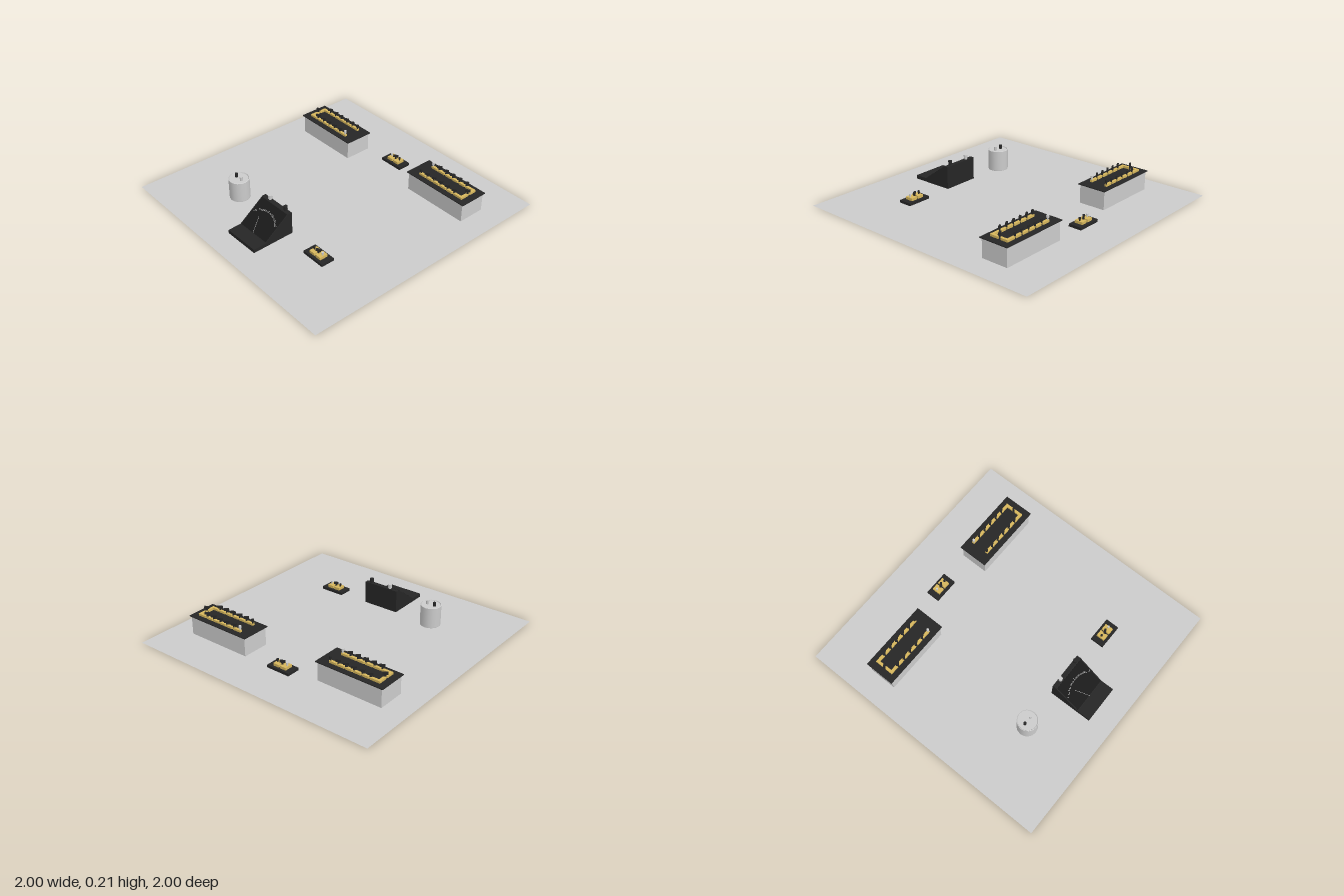
import * as THREE from 'three';

const grey = new THREE.MeshStandardMaterial({ color: 0xcccccc });
const sheet = new THREE.MeshStandardMaterial({ color: 0xcccccc, side: THREE.DoubleSide });
const black = new THREE.MeshStandardMaterial({ color: 0x262626 });
const dark = new THREE.MeshStandardMaterial({ color: 0x1a1a1a });
const brass = new THREE.MeshStandardMaterial({ color: 0xd6b65c });

function add(parent, name, geometry, material, x = 0, y = 0, z = 0) {
  const mesh = new THREE.Mesh(geometry, material);
  mesh.name = name;
  mesh.position.set(x, y, z);
  parent.add(mesh);
  return mesh;
}

function group(parent, name, x = 0, y = 0, z = 0) {
  const g = new THREE.Group();
  g.name = name;
  g.position.set(x, y, z);
  parent.add(g);
  return g;
}

const box = (w, h, d) => new THREE.BoxGeometry(w, h, d);
const cyl = (r, h, n = 12) => new THREE.CylinderGeometry(r, r, h, n);

// Flat plate drawn in plan (x right, y towards the back), extruded upwards
function plate(points, height) {
  const shape = new THREE.Shape(points.map(([x, y]) => new THREE.Vector2(x, y)));
  return new THREE.ExtrudeGeometry(shape, { depth: height, bevelEnabled: false }).rotateX(-Math.PI / 2);
}

// Plug: round stem with a flat thumb grip turned to follow the gap
function addPlug(parent, x, y, z) {
  const plug = group(parent, 'plug', x, y, z);
  add(plug, 'plugStem', cyl(0.006, 0.02, 10), black, 0, 0.01, 0);
  add(plug, 'plugGrip', box(0.036, 0.016, 0.014), black, 0, 0.023, 0).rotation.y = 0.55;
}

// Screw terminal: thin post under a wider knob
function addTerminal(parent, x, y, z, material, scale = 1) {
  const terminal = group(parent, 'terminal', x, y, z);
  add(terminal, 'terminalPost', cyl(0.006, 0.02, 10), material, 0, 0.01, 0);
  add(terminal, 'terminalKnob', cyl(0.01, 0.018, 10), material, 0, 0.023, 0);
  terminal.scale.setScalar(scale);
}

function addResistanceBox(parent, x, z, turn) {
  const unit = group(parent, 'resistanceBox', x, 0, z);
  unit.rotation.y = turn;
  add(unit, 'boxBody', box(0.52, 0.143, 0.21), grey, 0, 0.0735, 0);
  add(unit, 'boxLid', box(0.545, 0.006, 0.23), black, 0, 0.147, 0);
  const top = 0.15, h = 0.016, w = 0.01, slant = 0.006, gap = 0.006;
  const gaps = [-0.12, -0.055, 0.01, 0.075, 0.14];
  // Two rows of slanted brass bars with plugs between them
  for (const rowZ of [-0.063, 0.063]) {
    const edges = [-0.19, ...gaps, 0.22];
    for (let i = 0; i < edges.length - 1; i++) {
      const first = i === 0, last = i === edges.length - 2;
      const a = edges[i] + (first ? 0 : gap), b = edges[i + 1] - (last ? 0 : gap);
      const sa = first ? 0 : slant, sb = last ? 0 : slant;
      add(unit, 'brassBar', plate([[a - sa, -w], [b - sb, -w], [b + sb, w], [a + sa, w]], h), brass, 0, top, rowZ);
    }
    for (const gx of gaps) addPlug(unit, gx, top + h, rowZ);
    addTerminal(unit, -0.182, top + h, rowZ, rowZ < 0 ? grey : black);
  }
  // End column joining the rows, split by one more plug
  const column = [[-w, 0.002], [w, 0.014], [w, 0.053], [-w, 0.053]];
  add(unit, 'endBar', plate(column, h), brass, 0.21, top, 0);
  add(unit, 'endBar', plate(column, h), brass, 0.21, top, 0).rotation.y = Math.PI;
  addPlug(unit, 0.21, top + h, 0);
}

function addPlugKey(parent, x, z, turn) {
  const key = group(parent, 'plugKey', x, 0, z);
  key.rotation.y = turn;
  add(key, 'keyBase', box(0.19, 0.02, 0.103), black, 0, 0.011, 0);
  // Facing brass blocks with a half-round plug hole
  for (const side of [0, Math.PI]) {
    const s = new THREE.Shape();
    s.moveTo(0.006, -0.032);
    s.lineTo(0.055, -0.032);
    s.lineTo(0.055, 0.032);
    s.lineTo(0.006, 0.032);
    s.lineTo(0.006, 0.01);
    s.absarc(0.004, 0, 0.01, Math.PI / 2, -Math.PI / 2, true);
    s.lineTo(0.006, -0.01);
    const geo = new THREE.ExtrudeGeometry(s, { depth: 0.02, bevelEnabled: false }).rotateX(-Math.PI / 2);
    add(key, 'brassBlock', geo, brass, 0, 0.021, 0).rotation.y = side;
    addTerminal(key, side ? -0.042 : 0.042, 0.04, 0, side ? black : grey, 0.8);
  }
  addPlug(key, 0, 0.036, 0);
}

function addCell(parent) {
  const cell = group(parent, 'battery', -0.437, 0, 0.515);
  const profile = [[0, 0], [0.076, 0], [0.076, 0], [0.077, 0.005], [0.077, 0.158], [0.077, 0.158],
    [0.073, 0.16], [0.073, 0.16], [0.07, 0.154], [0.07, 0.154], [0, 0.154]];
  add(cell, 'cellCan', new THREE.LatheGeometry(profile.map(([a, b]) => new THREE.Vector2(a, b)), 16), grey);
  add(cell, 'cellTerminal', cyl(0.011, 0.03), black, -0.03, 0.169, 0);
  add(cell, 'cellTerminal', cyl(0.011, 0.03), grey, 0.03, 0.169, 0);
}

function addMeter(parent) {
  const meter = group(parent, 'meter', 0.006, 0, 0.66);
  meter.rotation.y = 0.015;
  // Wedge case: side profile (z, y) extruded across the width
  const profile = [[-0.163, 0.002], [0.167, 0.002], [0.167, 0.03], [0.067, 0.03], [-0.133, 0.175], [-0.163, 0.175]];
  const shape = new THREE.Shape(profile.map(([z, y]) => new THREE.Vector2(-z, y)));
  const wedge = new THREE.ExtrudeGeometry(shape, { depth: 0.285, bevelEnabled: false });
  wedge.translate(0, 0, -0.1425).rotateY(Math.PI / 2);
  add(meter, 'meterCase', wedge, black);
  // Sloping dial with scale and needle
  const dial = group(meter, 'dial', 0, 0.03, 0.067);
  dial.rotation.x = -Math.atan2(0.2, 0.145);
  add(dial, 'dialFace', box(0.27, 0.235, 0.002), dark, 0, 0.123, 0.001);
  const radius = 0.165, sweep = 0.8, count = 30;
  add(dial, 'scaleArc', new THREE.RingGeometry(radius - 0.001, radius + 0.001, 40, 1, Math.PI / 2 - sweep, 2 * sweep),
    sheet, 0, 0.011, 0.003);
  for (let i = 0; i <= count; i++) {
    const a = -sweep + 2 * sweep * i / count;
    const len = i % 5 === 0 ? 0.018 : 0.01;
    const r = radius + len / 2;
    add(dial, 'scaleTick', box(0.0015, len, 0.001), grey, Math.sin(a) * r, 0.011 + Math.cos(a) * r, 0.003).rotation.z = -a;
  }
  add(dial, 'needle', box(0.002, 0.13, 0.001), grey, -0.025, 0.062, 0.003).rotation.z = 0.39;
  // Binding posts on the top ledge
  for (const [x, material] of [[-0.073, grey], [0.095, black]]) {
    add(meter, 'bindingPost', cyl(0.01, 0.012), material, x, 0.179, -0.148);
    add(meter, 'bindingKnob', cyl(0.015, 0.028), material, x, 0.197, -0.148);
  }
}

export function createModel() {
  const model = new THREE.Group();
  model.name = 'circuitBench';
  add(model, 'benchTop', new THREE.PlaneGeometry(2, 2).rotateX(-Math.PI / 2), sheet);
  addResistanceBox(model, 0.5525, -0.578, 0);
  addResistanceBox(model, -0.557, -0.506, Math.PI);
  addPlugKey(model, -0.017, -0.642, Math.PI);
  addPlugKey(model, 0.458, 0.522, 0);
  addCell(model);
  addMeter(model);
  return model;
}
